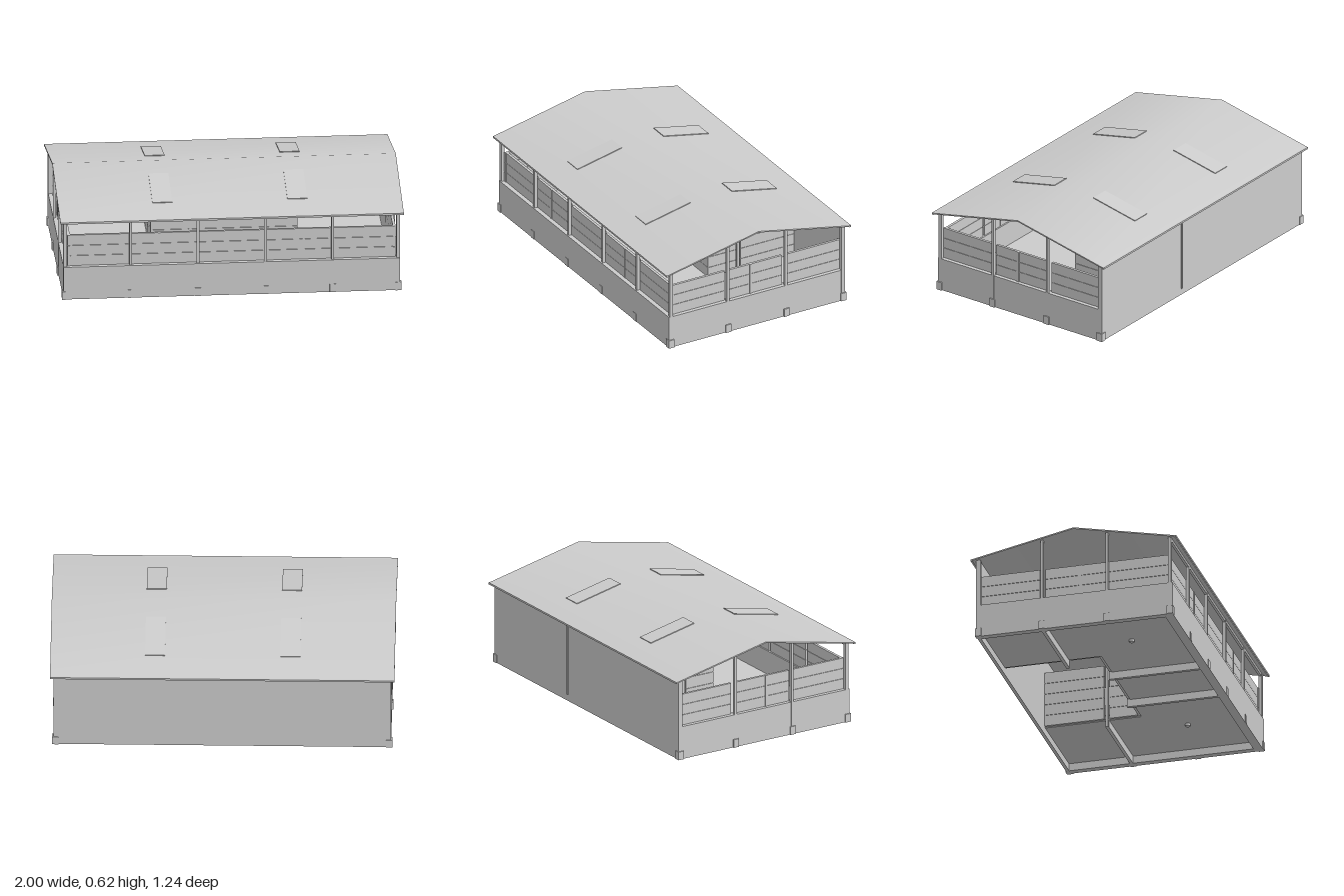
import * as THREE from 'three';

const grey = new THREE.MeshStandardMaterial({ color: 0xcccccc });
grey.name = 'plain grey';
const greyBothSides = new THREE.MeshStandardMaterial({ color: 0xcccccc, side: THREE.DoubleSide });
greyBothSides.name = 'plain grey';

const EAVE_Y = 0.489, RIDGE_Y = 0.617, EAVE_Z = 0.615;
const roofY = z => RIDGE_Y - (RIDGE_Y - EAVE_Y) * Math.abs(z) / EAVE_Z;

export function createModel() {
  const barn = new THREE.Group();
  barn.name = 'barn';

  // Box given by its min and max corners
  const box = (name, x0, x1, y0, y1, z0, z1) => {
    const m = new THREE.Mesh(new THREE.BoxGeometry(x1 - x0, y1 - y0, z1 - z0), grey);
    m.position.set((x0 + x1) / 2, (y0 + y1) / 2, (z0 + z1) / 2);
    m.name = name;
    barn.add(m);
    return m;
  };

  // Slatted panel standing along x or z, made of stacked boards
  const slats = (name, axis, a, b, at, y0, y1) => {
    const n = Math.round((y1 - y0) / 0.063), h = (y1 - y0) / n;
    for (let i = 0; i < n; i++) {
      const lo = y0 + i * h, hi = lo + h - (i < n - 1 ? 0.002 : 0);
      if (axis === 'x') box(name, a, b, lo, hi, at - 0.008, at + 0.008);
      else box(name, at - 0.008, at + 0.008, lo, hi, a, b);
    }
  };

  // Strip surface across the roof, smooth over the ridge
  const sheet = (name, drop, down) => {
    const pos = [], idx = [];
    for (const z of [-EAVE_Z, 0, EAVE_Z])
      for (const x of [-1, 1]) pos.push(x, roofY(z) - drop, z);
    for (const i of [0, 2]) {
      const tri = [i, i + 2, i + 1, i + 1, i + 2, i + 3];
      idx.push(...(down ? tri.reverse() : tri));
    }
    const g = new THREE.BufferGeometry();
    g.setAttribute('position', new THREE.Float32BufferAttribute(pos, 3));
    g.setIndex(idx);
    g.computeVertexNormals();
    const m = new THREE.Mesh(g, grey);
    m.name = name;
    barn.add(m);
  };
  sheet('roofTop', 0, false);
  sheet('roofUnderside', 0.008, true);

  // Gable edges closing the roof thickness
  const edge = new THREE.Shape([
    [-EAVE_Z, EAVE_Y], [0, RIDGE_Y], [EAVE_Z, EAVE_Y],
    [EAVE_Z, EAVE_Y - 0.008], [0, RIDGE_Y - 0.008], [-EAVE_Z, EAVE_Y - 0.008],
  ].map(p => new THREE.Vector2(...p)));
  for (const s of [-1, 1]) {
    const m = new THREE.Mesh(new THREE.ShapeGeometry(edge), greyBothSides);
    m.rotation.y = s * Math.PI / 2;
    m.position.x = s;
    m.name = 'roofEdge';
    barn.add(m);
    box('eaveTrim', -1, 1, 0.479, 0.49, s * 0.615 - 0.005, s * 0.615 + 0.005);
  }

  // Skylight plates lying just above each slope
  const slope = Math.atan2(RIDGE_Y - EAVE_Y, EAVE_Z);
  for (const x of [-0.393, 0.393]) for (const s of [-1, 1]) {
    const m = new THREE.Mesh(new THREE.BoxGeometry(0.116, 0.005, 0.3 / Math.cos(slope)), grey);
    m.position.set(x, roofY(0.29) + 0.002, s * 0.29);
    m.rotation.x = s * slope;
    m.name = 'skylight';
    barn.add(m);
  }

  // Low walls on three sides, full wall at the back
  box('frontLowWall', -0.98, 0.98, 0, 0.2, 0.54, 0.592);
  for (const s of [-1, 1])
    box('sideLowWall', s * 0.96 - 0.02, s * 0.96 + 0.02, 0, 0.2, -0.58, 0.54);
  box('backWall', -0.98, 0.98, 0, 0.49, -0.592, -0.572);
  box('backWallPost', 0.193, 0.207, 0.04, 0.49, -0.598, -0.59);

  // Front posts with feet, and the beam over them
  for (const x of [-0.97, -0.588, -0.196, 0.196, 0.588, 0.97]) {
    const corner = Math.abs(x) > 0.9;
    const w = corner ? 0.011 : 0.008;
    box('frontPost', x - w, x + w, 0, 0.49, 0.565, 0.585);
    const f = 0.018;
    box('frontFoot', x - f, x + f, 0, 0.05, 0.56, corner ? 0.597 : 0.595);
  }
  box('frontBeam', -0.98, 0.98, 0.472, 0.49, 0.567, 0.583);

  for (const s of [-1, 1]) {
    // Gable posts and feet, reaching up to the roof
    for (const z of [-0.196, 0.196]) {
      box('gablePost', s * 0.972 - 0.009, s * 0.972 + 0.009, 0, roofY(z) - 0.006, z - 0.008, z + 0.008);
      box('gableFoot', s * 0.97 - 0.018, s * 0.97 + 0.018, 0, 0.05, z - 0.018, z + 0.018);
    }
    box('backCornerPost', s * 0.97 - 0.011, s * 0.97 + 0.011, 0, 0.488, -0.59, -0.565);
    box('backCornerFoot', s * 0.97 - 0.018, s * 0.97 + 0.018, 0, 0.05, -0.597, -0.56);

    // Slatted side panels with a short gate post
    for (const [a, b] of [[-0.57, -0.212], [-0.18, 0.022], [0.037, 0.188], [0.204, 0.57]])
      slats('sidePanel', 'z', a, b, s * 0.948, 0.2, 0.39);
    box('sideGatePost', s * 0.95 - 0.011, s * 0.95 + 0.011, 0.2, 0.39, 0.022, 0.037);
    box('frontGatePost', s * 0.42 - 0.007, s * 0.42 + 0.007, 0.2, 0.39, 0.546, 0.568);

    // Slatted front panels between the posts
    for (const [a, b] of [[0.596, 0.94], [0.427, 0.58], [0.204, 0.413]])
      slats('frontPanel', 'x', Math.min(s * a, s * b), Math.max(s * a, s * b), 0.557, 0.2, 0.39);

    // Walls and posts of the inner pen
    slats('penSideWall', 'z', -0.57, -0.212, s * 0.42, 0.05, 0.39);
    slats('penSideWall', 'z', -0.18, 0.008, s * 0.42, 0.05, 0.39);
    box('penSidePost', s * 0.42 - 0.008, s * 0.42 + 0.008, 0, 0.39, -0.204, -0.188);
    box('penFrontPost', s * 0.196 - 0.008, s * 0.196 + 0.008, 0, 0.39, -0.01, 0.01);
    slats('penFrontWall', 'x', s > 0 ? 0.204 : -0.412, s > 0 ? 0.412 : -0.204, 0, 0.05, 0.39);

    // Beams under the floor
    box('floorBeam', s * 0.196 - 0.01, s * 0.196 + 0.01, 0, 0.045, 0, 0.54);
    box('floorCrossBeam', s > 0 ? 0.42 : -0.95, s > 0 ? 0.95 : -0.42, 0, 0.045, -0.206, -0.186);

    // Round drains showing below the floor
    const drain = new THREE.Mesh(new THREE.CylinderGeometry(0.015, 0.015, 0.02, 16), grey);
    drain.position.set(s * 0.6, 0.04, 0.24);
    drain.name = 'drain';
    barn.add(drain);

    // Floor beside the pen
    box('sideFloor', s > 0 ? 0.43 : -0.95, s > 0 ? 0.95 : -0.43, 0.045, 0.055, -0.575, 0.54);
  }
  slats('frontPanel', 'x', -0.188, 0.188, 0.557, 0.2, 0.39);
  slats('penFrontWall', 'x', -0.188, 0.188, 0, 0.05, 0.39);
  box('frontFloor', -0.43, 0.43, 0.045, 0.055, 0.008, 0.54);

  return barn;
}
